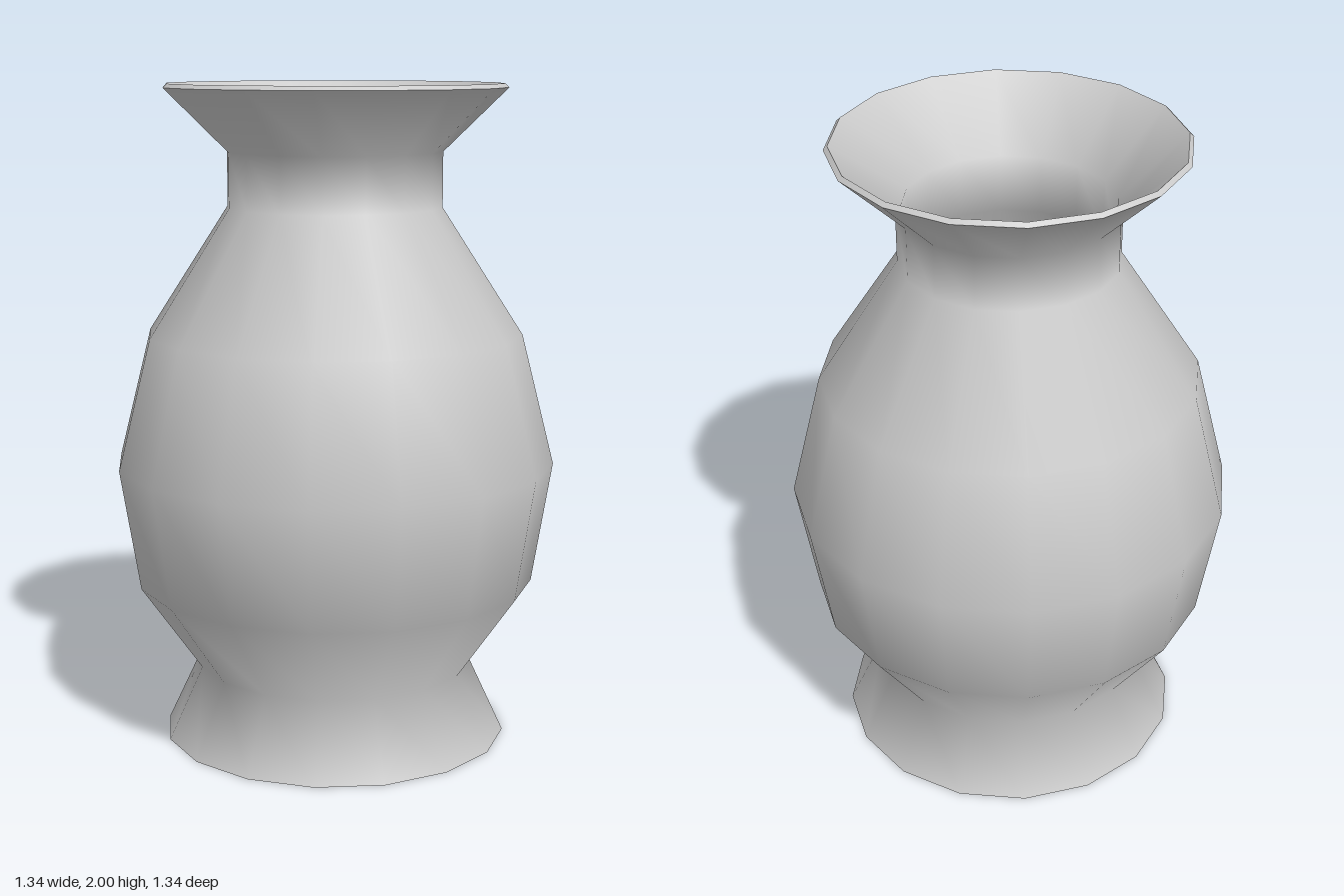
import * as THREE from 'three';

const SIDES = 16;

export function createModel() {
  const vase = new THREE.Group();
  vase.name = 'vase';
  const material = new THREE.MeshStandardMaterial({ color: 0xcccccc });

  // Each part is a turned profile of [radius, height] points; creases fall between parts
  const turn = (name, profile) => {
    const points = profile.map(([r, y]) => new THREE.Vector2(r, y));
    const mesh = new THREE.Mesh(new THREE.LatheGeometry(points, SIDES), material);
    mesh.name = name;
    vase.add(mesh);
  };

  // Flat underside of the foot
  turn('base', [[0, 0], [0.53, 0]]);

  // Flared foot, round belly, straight neck and flared mouth
  turn('outerWall', [
    [0.53, 0], [0.425, 0.225], [0.61, 0.49], [0.67, 0.86],
    [0.57, 1.255], [0.325, 1.635], [0.325, 1.8], [0.517, 1.988],
  ]);

  // Thin lip joining the two walls
  turn('rim', [[0.517, 1.988], [0.505, 2]]);

  // Hollow interior, following the outside at a thin wall's distance
  turn('innerWall', [
    [0.505, 2], [0.31, 1.807], [0.31, 1.63], [0.555, 1.25],
    [0.655, 0.86], [0.595, 0.495], [0.408, 0.225], [0.505, 0.015],
  ]);

  // Inside floor
  turn('floor', [[0.505, 0.015], [0, 0.015]]);

  return vase;
}
